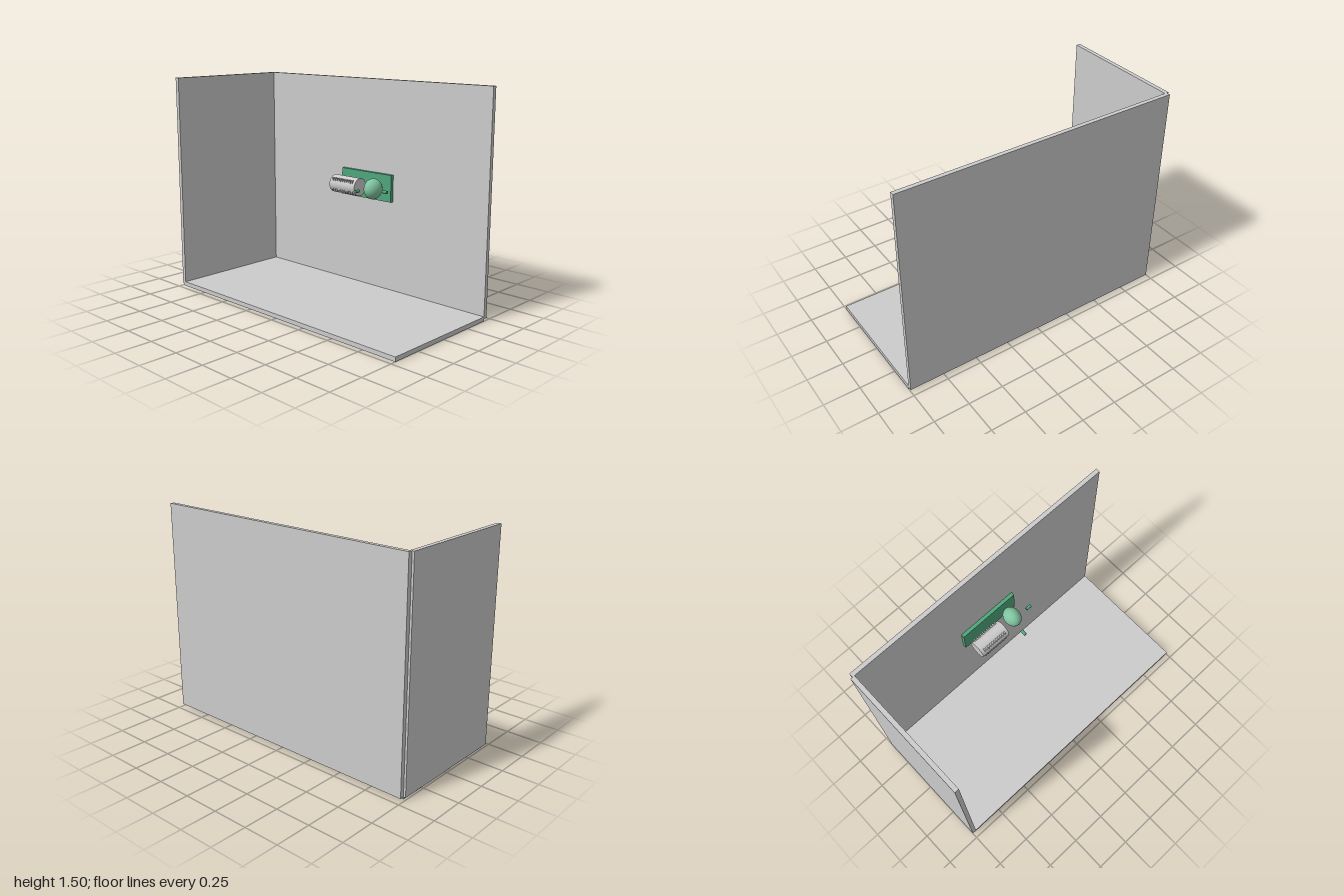
import * as THREE from 'three';

export function createModel() {
  const model = new THREE.Group();
  const grey = new THREE.MeshStandardMaterial({ color: 0xcccccc });
  const green = new THREE.MeshStandardMaterial({ color: 0x4fa57c });
  const paleGreen = new THREE.MeshStandardMaterial({ color: 0x7fc4a0 });

  const add = (name, geometry, material, x, y, z, parent = model) => {
    const mesh = new THREE.Mesh(geometry, material);
    mesh.name = name;
    mesh.position.set(x, y, z);
    parent.add(mesh);
    return mesh;
  };
  // Box given by its lower and upper corners
  const slab = (name, material, a, b) => add(name,
    new THREE.BoxGeometry(b[0] - a[0], b[1] - a[1], b[2] - a[2]), material,
    (a[0] + b[0]) / 2, (a[1] + b[1]) / 2, (a[2] + b[2]) / 2);

  // Open room corner: each panel is offset slightly past its neighbour
  slab('floor', grey, [-0.985, 0, -0.433], [1, 0.03, 0.462]);
  slab('backWall', grey, [-0.985, 0.016, -0.462], [1, 1.505, -0.433]);
  slab('sideWall', grey, [-1, 0.016, -0.433], [-0.97, 1.505, 0.462]);

  // Mounting plate on the back wall
  slab('mountingPlate', green, [-0.225, 0.667, -0.435], [0.23, 0.857, -0.408]);

  // Drum with four rows of small teeth
  const drum = new THREE.Group();
  drum.name = 'toothedDrum';
  drum.position.set(-0.083, 0.762, -0.311);
  model.add(drum);
  add('drumBody', new THREE.CylinderGeometry(0.062, 0.062, 0.235, 32), grey, 0, 0, 0, drum)
    .rotation.z = Math.PI / 2;
  const tooth = new THREE.BoxGeometry(0.009, 0.022, 0.022);
  for (const sy of [-1, 1]) {
    for (const sz of [-1, 1]) {
      for (let i = 0; i < 11; i++) {
        add('drumTooth', tooth, grey, (i - 5) * 0.018, sy * 0.038, sz * 0.046, drum);
      }
    }
  }

  // Rounded bulb, narrower along x
  add('bulb', new THREE.SphereGeometry(0.072, 40, 28), paleGreen, 0.137, 0.762, -0.33)
    .scale.x = 0.81;

  // Two small pins beside and in front of the bulb
  const pin = new THREE.CylinderGeometry(0.0105, 0.0105, 0.04, 20);
  add('sidePin', pin, green, 0.265, 0.762, -0.304).rotation.z = Math.PI / 2;
  add('frontPin', pin, green, 0.113, 0.762, -0.19).rotation.x = Math.PI / 2;

  return model;
}
